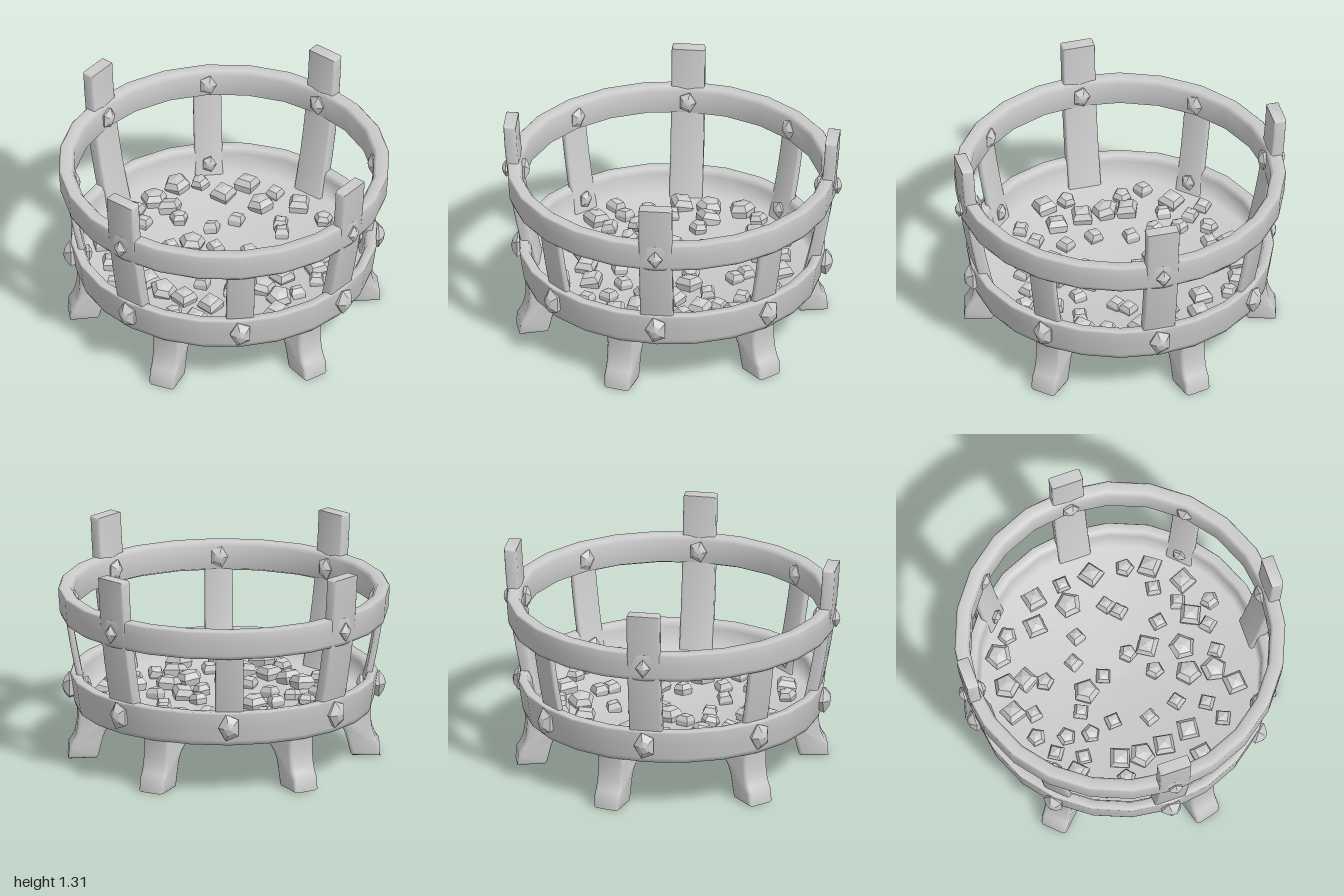
import * as THREE from 'three';
import { toCreasedNormals } from 'three/addons/utils/BufferGeometryUtils.js';

const iron = new THREE.MeshStandardMaterial({ color: 0xcccccc });
iron.name = 'grey iron';

function add(parent, name, geometry) {
  const mesh = new THREE.Mesh(geometry, iron);
  mesh.name = name;
  parent.add(mesh);
  return mesh;
}

function lathe(points, sides) {
  return new THREE.LatheGeometry(points.map(([r, y]) => new THREE.Vector2(r, y)), sides);
}

// Faceted lump: waist at 45% of its height, shoulder and low peak
function gem(sides, radius, height, shoulder) {
  const g = lathe([[0, 0], [radius * 0.85, 0], [radius, height * 0.45], [radius * shoulder, height * 0.85], [0, height]], sides).toNonIndexed();
  g.computeVertexNormals();
  return g;
}

// Hoop with a soft band section, leaning outwards by lean
function hoop(inner, outer, bottom, top, lean) {
  const section = [[0.4, 0], [0.9, 0.02], [0.98, 0.15], [1, 0.6], [1, 0.94], [0.88, 1], [0.2, 1], [0, 0.85], [0, 0.1], [0.4, 0]];
  return lathe(section.map(([u, v]) => [inner + u * (outer - inner) + (v - 1) * lean, bottom + v * (top - bottom)]), 24);
}

// Side profile given thickness along z, with rounded edges
function bar(shape, width, bevel) {
  const g = new THREE.ExtrudeGeometry(shape, {
    depth: width - 2 * bevel, bevelEnabled: true, bevelThickness: bevel, bevelSize: bevel,
    bevelOffset: -bevel, bevelSegments: 2, curveSegments: 5,
  });
  return g.translate(0, 0, bevel - width / 2);
}

// Distance of a post from the axis at height y
function postRadius(y) {
  const u = (y - 0.35) / 0.96;
  return 0.83 + 0.25 * u - 0.105 * u * u;
}

// Flat post bent to follow postRadius
function post(bottom, top, width, thick) {
  const outside = [], inside = [];
  for (let i = 0; i <= 7; i++) {
    const y = bottom + (top - bottom) * i / 7;
    outside.push(new THREE.Vector2(postRadius(y) + thick / 2, y));
    inside.unshift(new THREE.Vector2(postRadius(y) - thick / 2, y));
  }
  return toCreasedNormals(bar(new THREE.Shape([...outside, ...inside]), width, 0.012), 0.9);
}

// Foot, knee and beam running in to the middle, where it narrows
function leg() {
  const s = new THREE.Shape();
  s.moveTo(0, 0.255);
  s.lineTo(0.56, 0.26);
  s.quadraticCurveTo(0.71, 0.24, 0.735, 0.12);
  s.lineTo(0.76, 0.02);
  s.lineTo(0.77, 0.005);
  s.lineTo(0.94, 0);
  s.lineTo(0.935, 0.08);
  s.quadraticCurveTo(0.87, 0.15, 0.885, 0.33);
  s.lineTo(0.56, 0.325);
  s.lineTo(0, 0.315);
  const g = bar(s, 0.17, 0.02);
  const p = g.attributes.position;
  for (let i = 0; i < p.count; i++) {
    p.setZ(i, p.getZ(i) * Math.min(1, 0.65 + 0.6 * p.getX(i)));
  }
  return toCreasedNormals(g, 0.9);
}

// Stud on a post or hoop, pointing outwards or inwards along the radius
function stud(parent, name, sides, r, y, radius, height, inward) {
  const g = gem(sides, 1, height, 0.5);
  g.scale(radius * 1.3, 1, radius);
  g.computeVertexNormals();
  g.rotateZ(inward ? Math.PI / 2 : -Math.PI / 2);
  add(parent, name, g).position.set(r, y, 0);
}

export function createModel() {
  const model = new THREE.Group();
  model.name = 'brazier';

  add(model, 'upperHoop', hoop(0.91, 1.0, 0.88, 1.06, 0.01));
  add(model, 'lowerHoop', hoop(0.86, 0.93, 0.315, 0.53, 0.03));

  // Shallow fire dish
  add(model, 'dishTop', lathe([[0.855, 0.5], [0.835, 0.365], [0, 0.32]], 24));
  add(model, 'dishUnderside', lathe([[0, 0.3], [0.6, 0.308], [0.88, 0.325]], 24));

  // Posts with their studs: tall on the diagonals, short between them
  for (let i = 0; i < 8; i++) {
    const tall = i % 2 === 1;
    const bay = new THREE.Group();
    bay.name = tall ? 'tallPost' : 'shortPost';
    bay.rotation.y = i * Math.PI / 4;
    model.add(bay);
    add(bay, 'bar', tall ? post(0.35, 1.31, 0.2, 0.075) : post(0.35, 0.98, 0.17, 0.04));
    stud(bay, 'lowerStud', 5, 0.9, 0.44, 0.068, 0.075, false);
    stud(bay, 'innerUpperStud', 5, tall ? 0.91 : 0.92, 0.97, 0.055, 0.05, true);
    if (tall) stud(bay, 'upperStud', 4, 0.985, 0.97, 0.046, 0.045, false);
    else stud(bay, 'innerLowerStud', 5, postRadius(0.44) - 0.015, 0.44, 0.045, 0.04, true);
  }

  // Six legs meeting under the dish
  const legGeometry = leg();
  for (let i = 0; i < 6; i++) add(model, 'leg', legGeometry).rotation.y = i * Math.PI / 3;

  // Coals as x, z pairs
  const large = [
    -0.2, -0.71, 0.06, -0.6, 0.21, -0.67, -0.36, -0.58, -0.5, -0.47, -0.27, -0.49, 0.28, -0.47, 0.5, -0.43,
    -0.68, 0.04, -0.18, -0.14, 0.7, -0.13, 0.25, 0.07, 0.33, 0.25, 0.53, 0.21, -0.48, 0.22, -0.41, 0.33,
    -0.29, 0.43, -0.13, 0.51, 0.28, 0.48, 0.25, 0.64, -0.25, 0.66, 0.19, 0.36, 0.71, 0.09];
  const small = [
    -0.06, -0.72, 0.37, -0.57, -0.45, -0.36, -0.23, -0.39, 0.11, -0.34, -0.04, -0.28, -0.57, -0.28, 0.37, -0.27,
    0.37, -0.18, 0.63, -0.27, -0.73, -0.15, -0.61, -0.13, -0.49, -0.13, -0.31, -0.12, -0.04, -0.1, 0.15, -0.03,
    0.59, -0.06, -0.56, 0.02, -0.41, -0.01, -0.28, 0.08, 0.41, 0.05, 0.12, 0.17, -0.16, 0.28, -0.69, 0.24,
    -0.58, 0.32, 0, 0.38, 0.52, 0.34, 0.66, 0.29, 0.4, 0.46, 0.07, 0.55, -0.37, 0.59, 0.02, 0.68, 0.57, 0.11];
  const coals = new THREE.Group();
  coals.name = 'coals';
  model.add(coals);
  [[large, 0.084, 0.09], [small, 0.06, 0.075]].forEach(([spots, radius, height]) => {
    const shapes = [gem(4, radius, height, 0.7), gem(5, radius, height, 0.7)];
    for (let i = 0; i < spots.length; i += 2) {
      const [x, z] = [spots[i], spots[i + 1]];
      const coal = add(coals, 'coal', shapes[i % 6 === 0 ? 1 : 0]);
      coal.position.set(x, 0.315 + 0.05 * Math.hypot(x, z), z);
      coal.rotation.set(Math.sin(i * 3) * 0.2, i * 2.4, Math.cos(i * 5) * 0.2);
    }
  });
  return model;
}
